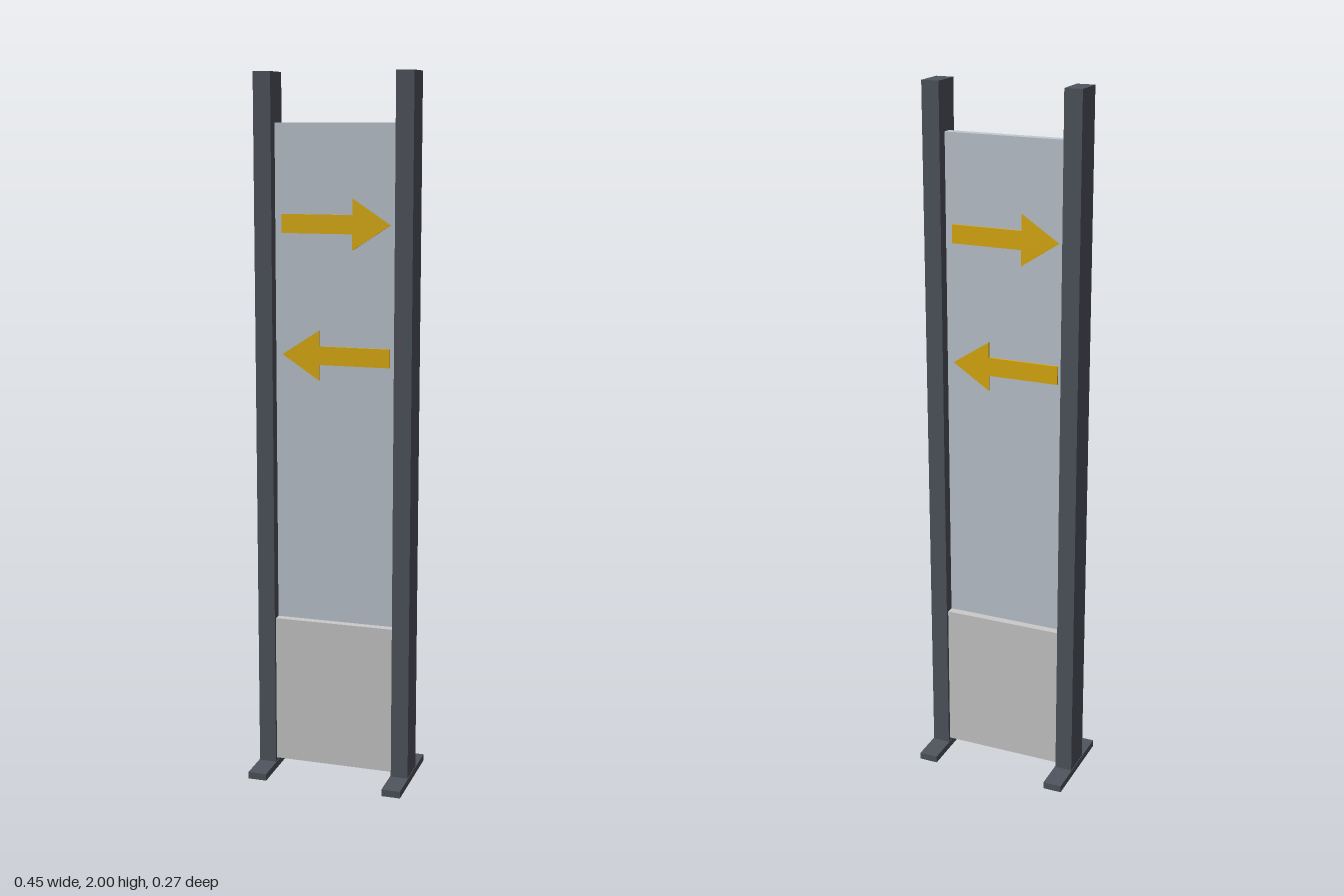
import * as THREE from 'three';

const paint = (color) => new THREE.MeshStandardMaterial({ color });

export function createModel() {
  const model = new THREE.Group();
  model.name = 'directionSign';
  const dark = paint(0x50555e);
  const glass = paint(0xc0c9d2);
  const metal = paint(0xc0c2c3);
  const yellow = paint(0xe0b010);

  // Box given by its lower and upper corners
  function box(name, material, [x0, y0, z0], [x1, y1, z1]) {
    const mesh = new THREE.Mesh(new THREE.BoxGeometry(x1 - x0, y1 - y0, z1 - z0), material);
    mesh.position.set((x0 + x1) / 2, (y0 + y1) / 2, (z0 + z1) / 2);
    mesh.name = name;
    model.add(mesh);
  }

  // Side posts on flat feet
  for (const [side, x] of [['left', 0.2], ['right', -0.2]]) {
    box(side + 'Post', dark, [x - 0.025, 0.02, -0.046], [x + 0.025, 2, 0.044]);
    box(side + 'Foot', dark, [x - 0.027, 0, -0.136], [x + 0.027, 0.02, 0.136]);
  }

  // Thin upper panel above a thicker lower panel
  box('upperPanel', glass, [-0.175, 0.46, -0.014], [0.175, 1.865, 0.012]);
  box('lowerPanel', metal, [-0.175, 0.03, -0.037], [0.175, 0.46, 0.035]);

  // Arrow plate pointing to +x, lying on z = 0
  const outline = [
    [-0.155, -0.026], [0.048, -0.026], [0.048, -0.07], [0.155, 0],
    [0.048, 0.07], [0.048, 0.026], [-0.155, 0.026],
  ].map(([x, y]) => new THREE.Vector2(x, y));
  const arrowGeometry = new THREE.ExtrudeGeometry(new THREE.Shape(outline), {
    depth: 0.005, bevelEnabled: false,
  });

  // A pair of opposed arrows on each face; the back pair is turned half round
  for (const [face, z, turn] of [['front', 0.012, 0], ['back', -0.014, Math.PI]]) {
    const pair = new THREE.Group();
    pair.name = face + 'Arrows';
    pair.position.z = z;
    pair.rotation.y = turn;
    for (const [name, y, spin] of [['upperArrow', 1.593, 0], ['lowerArrow', 1.23, Math.PI]]) {
      const arrow = new THREE.Mesh(arrowGeometry, yellow);
      arrow.name = name;
      arrow.position.y = y;
      arrow.rotation.z = spin;
      pair.add(arrow);
    }
    model.add(pair);
  }
  return model;
}
